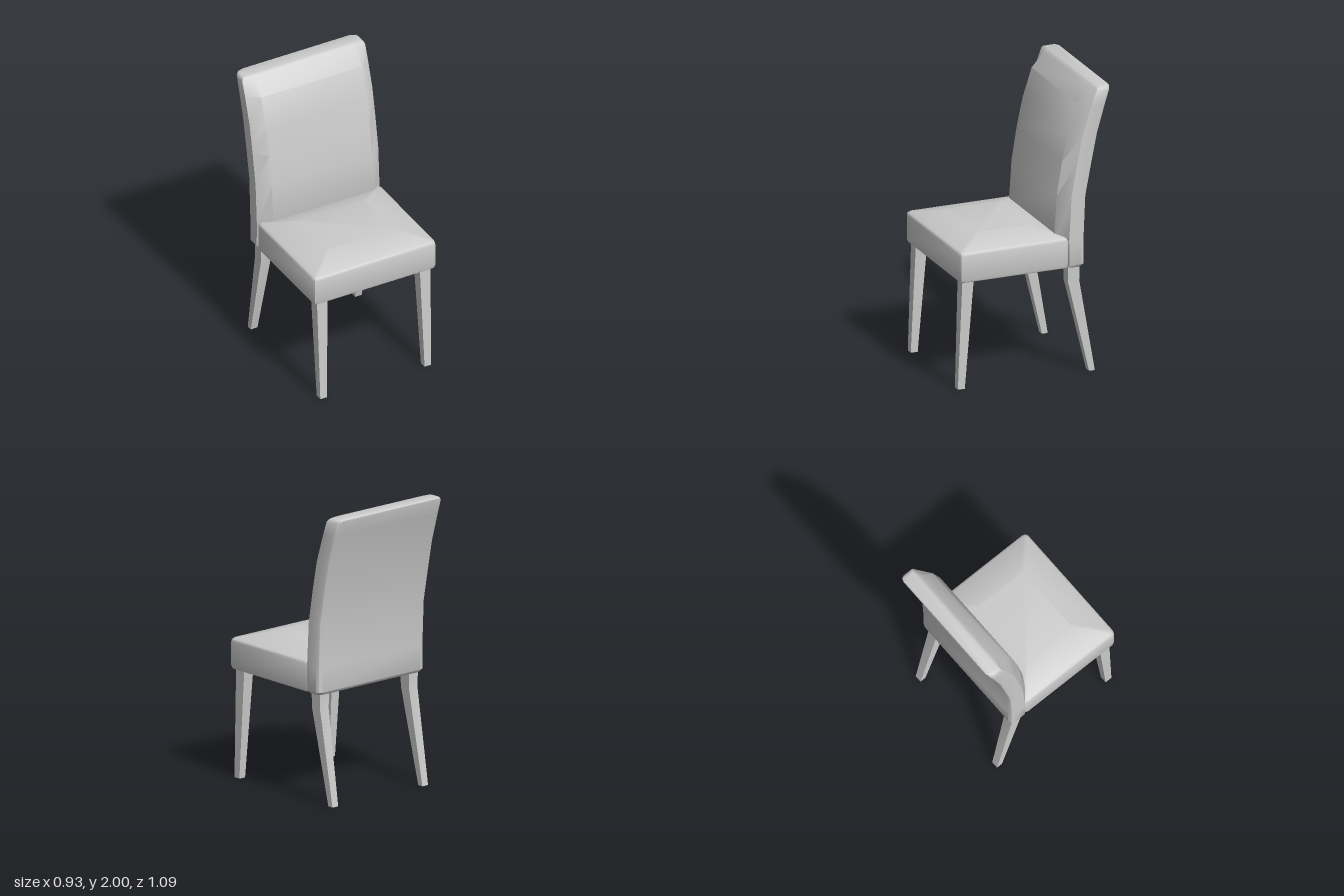
import * as THREE from 'three';
import { toCreasedNormals } from 'three/addons/utils/BufferGeometryUtils.js';

const material = new THREE.MeshStandardMaterial({ color: 0xcccccc });

// Skin stacked rings (bottom to top, counterclockwise from above) and cap both ends.
function loft(rings, crease) {
  const n = rings[0].length;
  const positions = rings.flat(2);
  const index = [];
  for (let r = 0; r < rings.length - 1; r++) {
    for (let i = 0; i < n; i++) {
      const j = (i + 1) % n;
      const a = r * n + i, b = r * n + j, c = a + n, d = b + n;
      index.push(a, b, d, a, d, c);
    }
  }
  const top = (rings.length - 1) * n;
  for (let i = 1; i < n - 1; i++) {
    index.push(0, i + 1, i, top, top + i, top + i + 1);
  }
  const geometry = new THREE.BufferGeometry();
  geometry.setAttribute('position', new THREE.Float32BufferAttribute(positions, 3));
  geometry.setIndex(index);
  return toCreasedNormals(geometry, crease);
}

function part(name, geometry) {
  const mesh = new THREE.Mesh(geometry, material);
  mesh.name = name;
  return mesh;
}

// Horizontal rectangle with rounded corners.
function roundedRing(y, hx, z0, z1, r) {
  const ring = [];
  const corners = [[hx - r, z1 - r, -1], [hx - r, z0 + r, 0], [r - hx, z0 + r, 1], [r - hx, z1 - r, 2]];
  for (const [x, z, quarter] of corners) {
    for (let k = 0; k <= 2; k++) {
      const t = (quarter + k / 2) * Math.PI / 2;
      ring.push([x + r * Math.cos(t), y, z - r * Math.sin(t)]);
    }
  }
  return ring;
}

// Backrest section: flat rear with soft corners, front padding standing proud of the sides.
function backRing([y, zFront, zEdge, zRear, hx]) {
  const half = [[hx, zEdge], [hx, zRear + 0.03], [hx - 0.01, zRear + 0.01], [hx - 0.035, zRear]];
  const right = half.map(([x, z]) => [x, y, z]);
  const left = half.map(([x, z]) => [-x, y, z]).reverse();
  return [...right, ...left, [-0.38, y, zFront], [0.38, y, zFront]];
}

// Square tapered leg from [y, zMin, zMax, xMin, xMax] stations.
function leg(stations, side) {
  return loft(stations.map(([y, z0, z1, x0, x1]) => {
    const cx = side * (x0 + x1) / 2, h = (x1 - x0) / 2;
    return [[cx + h, y, z1], [cx + h, y, z0], [cx - h, y, z0], [cx - h, y, z1]];
  }), 0.5);
}

export function createModel() {
  const chair = new THREE.Group();
  chair.name = 'chair';

  // Seat cushion with a rounded rim and a low raised top
  const seatRows = [
    [0.755, 0.445, -0.22, 0.525, 0.02],
    [0.762, 0.459, -0.234, 0.539, 0.025],
    [0.78, 0.465, -0.24, 0.545, 0.03],
    [0.945, 0.465, -0.24, 0.545, 0.03],
    [0.962, 0.46, -0.235, 0.54, 0.028],
    [0.972, 0.445, -0.22, 0.525, 0.02],
    [1.02, 0.25, -0.05, 0.34, 0.01],
  ];
  chair.add(part('seat', loft(seatRows.map((row) => roundedRing(...row)), 0.7)));

  // Curved, raked backrest: y, padding front, side edge, rear, half width
  const backRows = [
    [0.755, -0.24, -0.25, -0.34, 0.45],
    [0.775, -0.235, -0.24, -0.355, 0.465],
    [0.95, -0.165, -0.238, -0.355, 0.465],
    [1.25, -0.185, -0.255, -0.368, 0.465],
    [1.48, -0.222, -0.295, -0.412, 0.465],
    [1.68, -0.265, -0.335, -0.452, 0.465],
    [1.88, -0.33, -0.4, -0.51, 0.465],
    [1.975, -0.415, -0.435, -0.54, 0.465],
    [1.992, -0.432, -0.445, -0.543, 0.455],
    [2.0, -0.443, -0.452, -0.538, 0.435],
  ];
  chair.add(part('backrest', loft(backRows.map(backRing), 0.7)));

  // Tapered front legs and kinked, splayed rear legs
  const frontLeg = [[0, 0.495, 0.545, 0.37, 0.42], [0.76, 0.435, 0.517, 0.35, 0.43]];
  const rearLeg = [
    [0, -0.442, -0.4, 0.37, 0.42],
    [0.65, -0.326, -0.245, 0.353, 0.428],
    [0.76, -0.328, -0.243, 0.35, 0.43],
  ];
  for (const [label, side] of [['left', 1], ['right', -1]]) {
    chair.add(part(`${label}FrontLeg`, leg(frontLeg, side)));
    chair.add(part(`${label}RearLeg`, leg(rearLeg, side)));
  }
  return chair;
}
